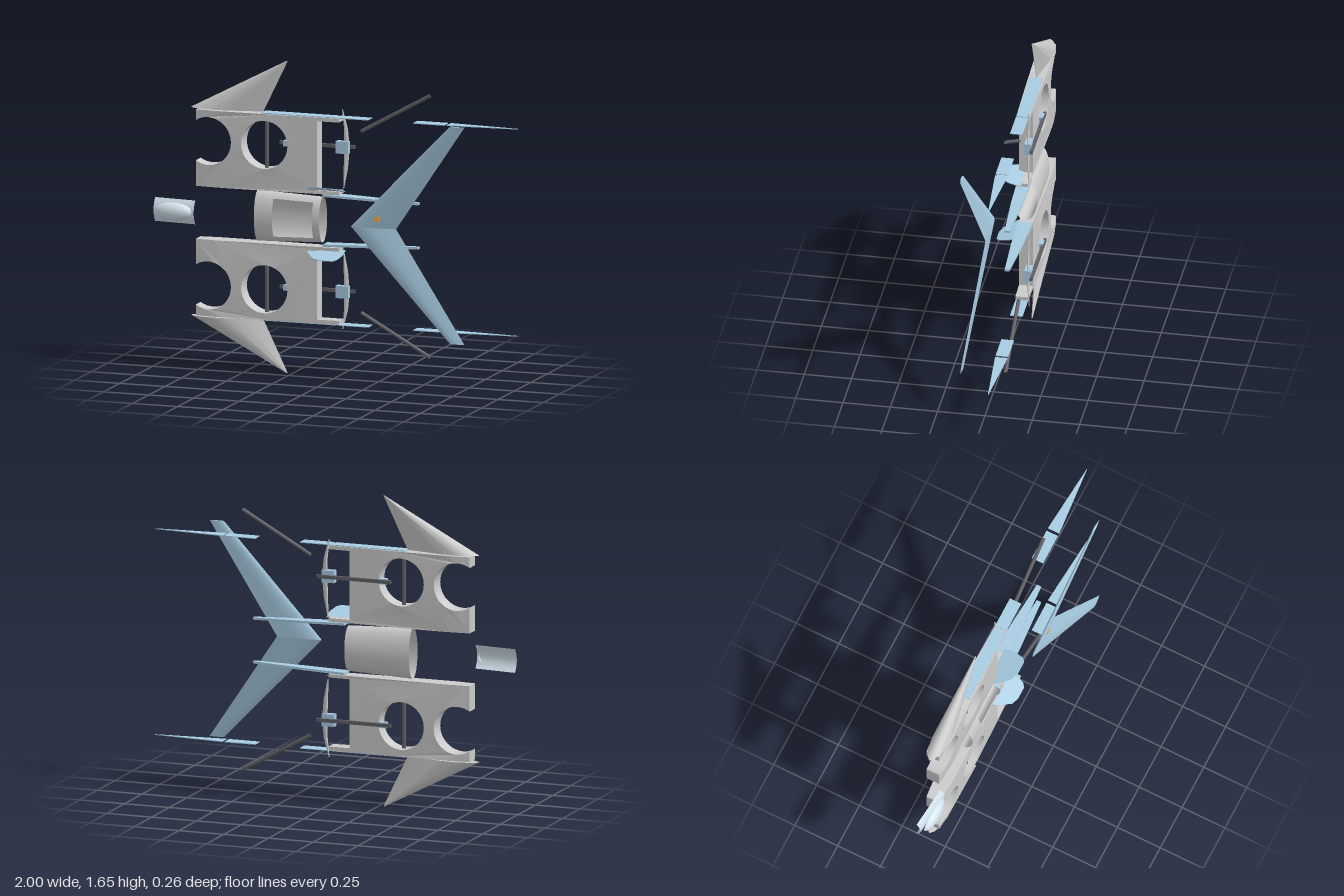
import * as THREE from 'three';
import { toCreasedNormals } from 'three/addons/utils/BufferGeometryUtils.js';

const MID_Y = 0.83, MID_Z = -0.062;
const mat = (color) => new THREE.MeshStandardMaterial({ color, side: THREE.DoubleSide });

// Surface from rings of points; open or closed ends
function fromRings(rings, caps, skip = () => false) {
  const n = rings[0].length, pos = rings.flat(2), index = [];
  for (let i = 0; i < rings.length - 1; i++) {
    for (let j = 0; j < n; j++) {
      if (skip(i, j)) continue;
      const a = i * n + j, b = i * n + (j + 1) % n;
      index.push(a, b, a + n, b, b + n, a + n);
    }
  }
  if (caps) {
    const e = (rings.length - 1) * n;
    for (let j = 1; j < n - 1; j++) index.push(0, j + 1, j, e, e + j, e + j + 1);
  }
  const g = new THREE.BufferGeometry();
  g.setAttribute('position', new THREE.Float32BufferAttribute(pos, 3));
  g.setIndex(index);
  return toCreasedNormals(g, 0.6);
}

// Wing surface; each station is [leading x, chord, span, z, half thickness]
const FOIL = [[0, 0.02], [0.04, 0.4], [0.12, 0.75], [0.3, 1], [0.5, 0.9], [0.75, 0.5], [1, 0.03]];
function wing(stations) {
  return fromRings(stations.map(([x, c, s, z, t]) => [
    ...FOIL.map(([u, h]) => [x + u * c, s, z + h * t]),
    ...FOIL.slice().reverse().map(([u, h]) => [x + u * c, s, z - h * t]),
  ]), true);
}

function box(x0, x1, y0, y1, z0, z1) {
  return new THREE.BoxGeometry(x1 - x0, y1 - y0, z1 - z0)
    .translate((x0 + x1) / 2, (y0 + y1) / 2, (z0 + z1) / 2);
}

// Round bar between two points
function bar(a, b, r) {
  return new THREE.TubeGeometry(new THREE.LineCurve3(new THREE.Vector3(...a), new THREE.Vector3(...b)), 1, r, 8);
}

// Plate lying in x and z, drawn as [x, z] corners
function plate(corners, span, thick) {
  const shape = new THREE.Shape(corners.map(([x, z]) => new THREE.Vector2(x, -z)));
  return new THREE.ExtrudeGeometry(shape, { depth: thick, bevelEnabled: false })
    .rotateX(-Math.PI / 2).translate(0, span - thick / 2, 0);
}

// Copy reflected across the middle, with the corner order turned round
function mirrored(geo) {
  const g = geo.index ? geo.toNonIndexed() : geo.clone();
  g.scale(1, -1, 1);
  for (const name of ['position', 'normal']) {
    const a = g.attributes[name];
    for (let i = 0; i < a.count; i += 3) {
      const p = [a.getX(i + 1), a.getY(i + 1), a.getZ(i + 1)];
      a.setXYZ(i + 1, a.getX(i + 2), a.getY(i + 2), a.getZ(i + 2));
      a.setXYZ(i + 2, ...p);
    }
  }
  return g;
}

// Half thickness of the wing panel along its chord
function panelHalf(x) {
  const t = (x + 0.81) / 0.83;
  return 0.046 * Math.min(1, 0.72 + t * 1.6) * (1 - 0.42 * Math.max(0, t - 0.3) ** 1.2);
}

function panelGeometry() {
  const pts = [];
  const run = (x0, x1, y, n) => {
    for (let i = 0; i <= n; i++) pts.push(new THREE.Vector2(x0 + (x1 - x0) * i / n, y));
  };
  run(-0.77, 0.02, 0.14, 14);
  run(0.02, -0.1, 0.158, 2);
  run(-0.1, 0.02, 0.525, 2);
  run(0.02, -0.77, 0.545, 14);
  for (let i = 0; i <= 32; i++) {
    const a = 2.154 * (1 - i / 16);
    pts.push(new THREE.Vector2(-0.7 + 0.127 * Math.cos(a), 0.382 + 0.127 * Math.sin(a)));
  }
  const shape = new THREE.Shape(pts);
  shape.holes.push(new THREE.Path().absarc(-0.39, 0.382, 0.127, 0, Math.PI * 2, true));
  const g = new THREE.ExtrudeGeometry(shape, { depth: 1, bevelEnabled: false, curveSegments: 40 });
  const p = g.attributes.position;
  for (let i = 0; i < p.count; i++) p.setZ(i, MID_Z + (p.getZ(i) * 2 - 1) * panelHalf(p.getX(i)));
  return toCreasedNormals(g, 0.6);
}

// Open oval sleeve with a hatch cut in its front
function fuselageGeometry() {
  const N = 36;
  const rings = [-0.44, -0.34, -0.12, -0.08].map((x) => {
    const b = 0.135 - (x + 0.44) * 0.04;
    return Array.from({ length: N }, (_, j) => {
      const a = j / N * Math.PI * 2;
      return [x, b * Math.sin(a), MID_Z + 0.063 * Math.cos(a)];
    });
  });
  return fromRings(rings, false, (i, j) => i === 1 && (j < 5 || j >= N - 5));
}

export function createModel() {
  const model = new THREE.Group();
  model.name = 'explodedAircraft';
  const grey = mat(0xcccccc), blue = mat(0xa8cce2), dark = mat(0x606066), orange = mat(0xf0b050), pale = mat(0xd2e2ec);

  const add = (name, geo, material) => {
    const m = new THREE.Mesh(geo, material);
    m.name = name;
    m.position.y = MID_Y;
    model.add(m);
  };
  const pair = (name, geo, material) => {
    add('upper' + name, geo, material);
    add('lower' + name, mirrored(geo), material);
  };

  // Wing panels, swept tips and spars
  pair('WingPanel', panelGeometry(), grey);
  pair('WingTip', wing([[-0.81, 0.4, 0.55, MID_Z, 0.045], [-0.283, 0.008, 0.826, MID_Z, 0.003]]), grey);
  pair('WingSpar', bar([-0.39, 0.145, MID_Z], [-0.39, 0.54, MID_Z], 0.011), dark);
  pair('TipSpar', bar([0.13, 0.48, -0.066], [0.51, 0.692, -0.066], 0.01), dark);

  // Motors, shafts and propellers
  pair('Shaft', box(-0.34, 0.075, 0.373, 0.391, -0.128, -0.112), dark);
  pair('Motor', box(-0.018, 0.05, 0.35, 0.415, -0.115, -0.08), blue);
  pair('ShaftBlock', box(-0.312, -0.266, 0.367, 0.397, -0.122, -0.092), blue);
  pair('Propeller', wing([
    [0.018, 0.005, 0.165, -0.1, 0.003], [0.02, 0.024, 0.27, -0.1, 0.005],
    [0.024, 0.03, 0.382, -0.1, 0.007], [0.022, 0.022, 0.48, -0.1, 0.005], [0.012, 0.005, 0.58, -0.1, 0.003],
  ]), grey);

  // Thin plates along the wing ends
  const strip = (x0, x1, end = 0.033) => plate([[x0, -0.095], [x1, MID_Z - end], [x1, MID_Z + end], [x0, -0.029]], 0.548, 0.004);
  pair('EndPlate', strip(-0.41, 0), blue);
  pair('EndPlateTail', strip(0.008, 0.18), blue);
  pair('OuterTab', strip(0.43, 0.6), blue);
  pair('OuterPoint', strip(0.615, 1, 0.001), blue);

  // Inner booms, leaning slightly along their length
  const boom = plate([[-0.07, -0.1], [0.17, -0.095], [0.45, -0.075], [0.45, -0.05], [0.17, -0.033], [-0.07, -0.028]], 0, 0.012);
  boom.rotateZ(-0.03).translate(0, 0.13, 0);
  pair('Boom', boom, blue);

  // Small fins leaning outward
  const fin = plate([[-0.155, -0.06], [0.045, -0.06], [0.05, 0], [0.035, 0.055], [0.015, 0.072],
    [-0.055, 0.072], [-0.095, 0.058], [-0.15, -0.01]], 0, 0.004);
  const fp = fin.attributes.position;
  for (let i = 0; i < fp.count; i++) fp.setY(i, fp.getY(i) + 0.155 + (fp.getZ(i) + 0.06) * 0.28);
  fin.computeVertexNormals();
  pair('Fin', fin, blue);

  // Swept tail with its marker
  pair('Tail', wing([[0.12, 0.25, 0, 0.066, 0.011], [0.69, 0.08, 0.575, 0.127, 0.006]]), blue);
  add('tailMarker', new THREE.CylinderGeometry(0.017, 0.017, 0.012, 20).rotateX(Math.PI / 2).translate(0.27, 0.05, 0.08), orange);

  // Fuselage sleeve and inner brace
  add('fuselage', fuselageGeometry(), grey);
  add('fuselageBrace', box(-0.4, -0.38, -0.11, 0.11, -0.095, -0.08), dark);

  // Nose pod: curved flange sheet and rounded canopy
  const flange = new THREE.PlaneGeometry(0.23, 0.126, 12, 12);
  const p = flange.attributes.position;
  for (let i = 0; i < p.count; i++) {
    const u = p.getX(i) / 0.23 + 0.5, v = p.getY(i) / 0.063;
    p.setXYZ(i, -1 + u * 0.23, p.getY(i), -0.022 * (1 - u) - 0.026 * v * v + 0.008);
  }
  flange.computeVertexNormals();
  add('noseFlange', flange, pale);
  add('noseCanopy', new THREE.SphereGeometry(1, 28, 14, 0, Math.PI).scale(0.105, 0.048, 0.04).translate(-0.885, 0, -0.003), pale);
  return model;
}
